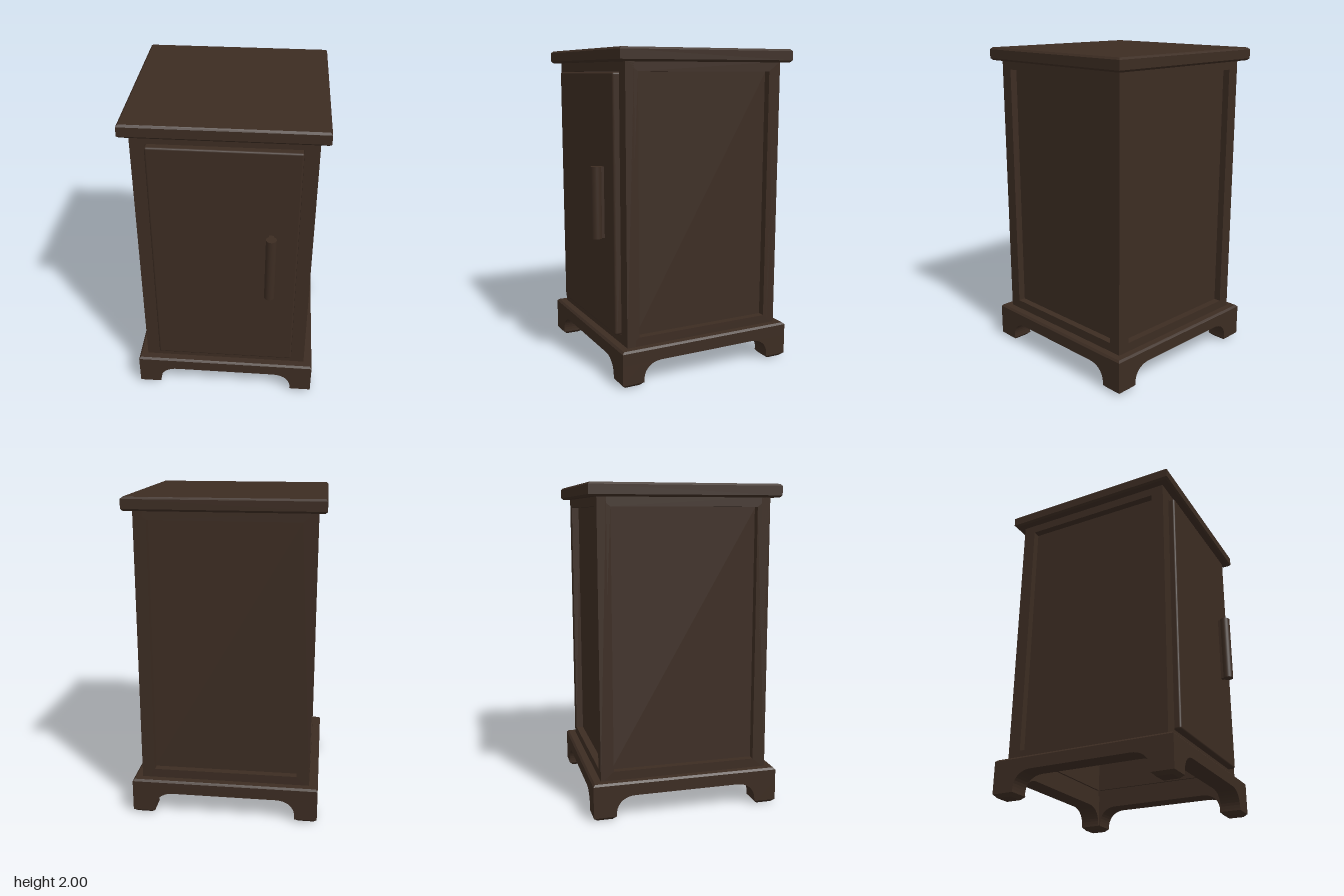
import * as THREE from 'three';
import { RoundedBoxGeometry } from 'three/addons/geometries/RoundedBoxGeometry.js';

const HALF = 0.585;   // top and plinth half width
const BODY = 0.53;    // body half width
const FOOT = 0.14;    // foot width
const WALL = 0.055;   // frame thickness

export function createModel() {
  const wood = new THREE.MeshStandardMaterial({ color: 0x3c2c22 });
  wood.name = 'dark wood';
  const model = new THREE.Group();
  model.name = 'cabinet';
  const cabinet = new THREE.Group();
  cabinet.name = 'carcass';
  cabinet.position.z = -0.03;
  model.add(cabinet);

  const add = (parent, name, geometry, x = 0, y = 0, z = 0) => {
    const mesh = new THREE.Mesh(geometry, wood);
    mesh.name = name;
    mesh.position.set(x, y, z);
    parent.add(mesh);
    return mesh;
  };

  // Square turned profile with crisp edges; points are [half width, height]
  const squareLathe = (points) => {
    const pts = points.map(([r, y]) => new THREE.Vector2(r * Math.SQRT2, y));
    const g = new THREE.LatheGeometry(pts, 4).rotateY(Math.PI / 4).toNonIndexed();
    g.computeVertexNormals();
    return g;
  };

  // Top slab with softened edges
  add(cabinet, 'top', squareLathe([
    [0, 1.92], [HALF - 0.012, 1.92], [HALF, 1.932], [HALF, 1.988], [HALF - 0.012, 2], [0, 2],
  ]));

  // Plinth ring
  const inner = HALF - 0.13;
  add(cabinet, 'plinth', squareLathe([
    [inner, 0.145], [HALF, 0.145], [HALF, 0.218], [HALF - 0.012, 0.23], [inner, 0.23], [inner, 0.145],
  ]));

  // Curved bracket that joins a foot to the plinth
  const bracket = new THREE.Shape();
  bracket.moveTo(HALF, 0.02);
  bracket.lineTo(HALF, 0.145);
  bracket.lineTo(HALF - FOOT - 0.12, 0.145);
  bracket.bezierCurveTo(HALF - FOOT - 0.045, 0.145, HALF - FOOT, 0.1, HALF - FOOT, 0.035);
  bracket.lineTo(HALF - FOOT, 0.02);
  const bracketGeo = new THREE.ExtrudeGeometry(bracket, { depth: 0.13, bevelEnabled: false, curveSegments: 10 });
  bracketGeo.translate(0, 0, HALF - 0.13);
  const mirrored = bracketGeo.clone().rotateY(Math.PI).translate(0, 0, 2 * HALF - 0.13);

  // Chamfered pad under each foot
  const pad = squareLathe([[0, 0], [FOOT / 2 - 0.022, 0], [FOOT / 2, 0.022], [0, 0.022]]);

  // Wall frame with a rectangular opening
  const frameGeo = (w, y0, y1) => {
    const s = new THREE.Shape([[-BODY, 0.22], [BODY, 0.22], [BODY, 1.925], [-BODY, 1.925]]
      .map((p) => new THREE.Vector2(...p)));
    s.holes.push(new THREE.Path([[-w, y0], [-w, y1], [w, y1], [w, y0]]
      .map((p) => new THREE.Vector2(...p))));
    return new THREE.ExtrudeGeometry(s, { depth: WALL, bevelEnabled: false })
      .translate(0, 0, BODY - WALL);
  };
  const sideFrame = frameGeo(0.45, 0.285, 1.865);
  const doorFrame = frameGeo(0.444, 0.287, 1.863);
  const panel = new THREE.BoxGeometry(0.92, 1.6, 0.022);

  ['front', 'left', 'back', 'right'].forEach((name, i) => {
    const side = new THREE.Group();
    side.name = name + 'Side';
    side.rotation.y = i * Math.PI / 2;
    cabinet.add(side);
    add(side, 'frame', i === 0 ? doorFrame : sideFrame);
    if (i > 0) add(side, 'recessedPanel', panel, 0, 1.075, BODY - 0.057);
    add(side, 'footBracket', bracketGeo);
    // The second bracket is turned about and pulled back to the same face
    const other = add(side, 'footBracket', mirrored);
    mirrored.computeBoundingBox();
    other.position.z = HALF - mirrored.boundingBox.max.z;
    add(side, 'footPad', pad, HALF - FOOT / 2, 0, HALF - FOOT / 2);
  });

  // Door
  add(model, 'door', new RoundedBoxGeometry(0.884, 1.57, 0.12, 2, 0.012), 0, 1.075, 0.48);

  // Handle: upright bar on a narrow mounting strip
  add(model, 'handleBar', new THREE.CylinderGeometry(0.032, 0.032, 0.44, 24), 0.282, 1.085, 0.585);
  add(model, 'handleMount', new THREE.BoxGeometry(0.03, 0.436, 0.055), 0.282, 1.085, 0.558);

  return model;
}
